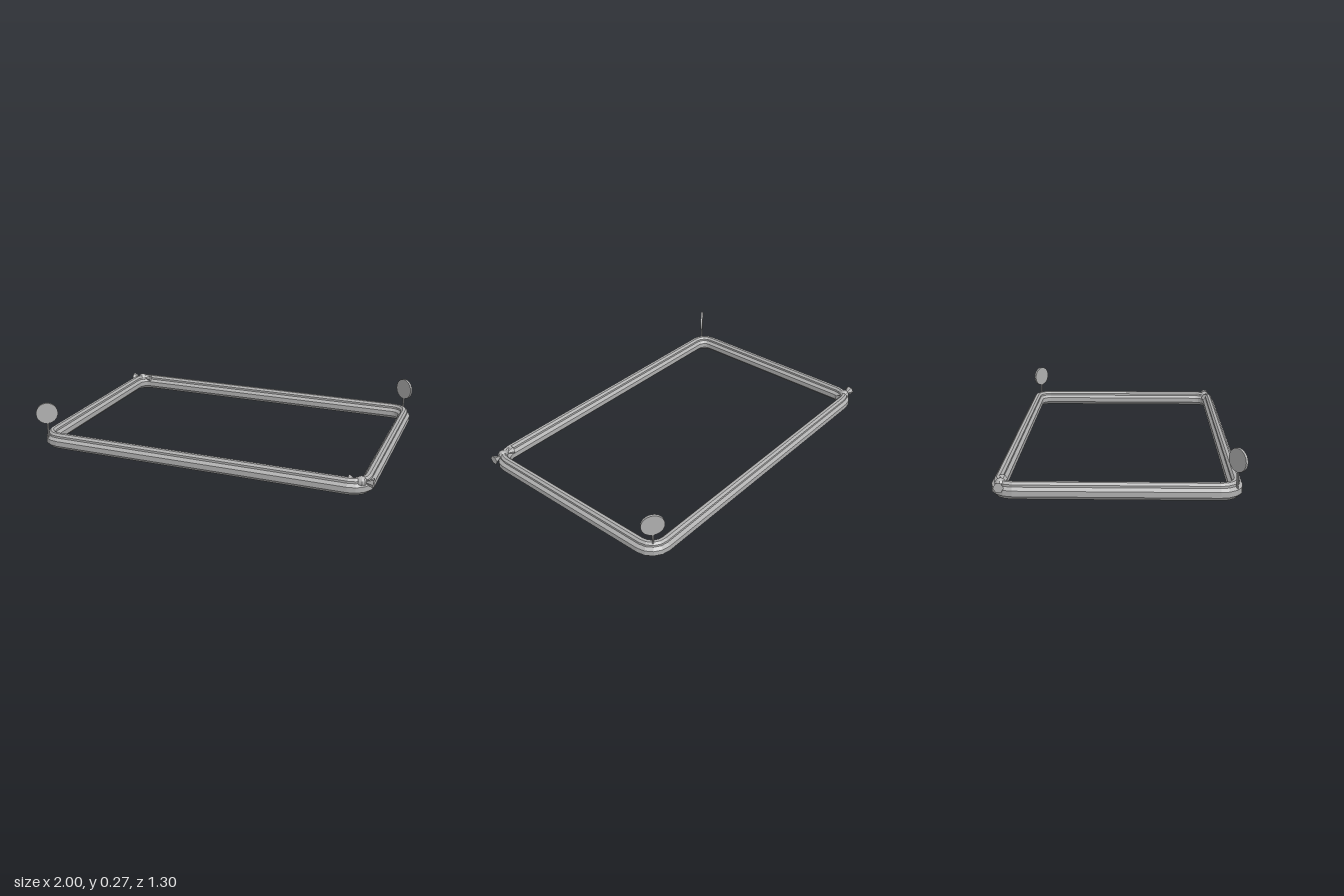
import * as THREE from 'three';

const metal = new THREE.MeshStandardMaterial({ color: 0xb0b0b0, flatShading: true });
metal.name = 'grey metal';

function add(parent, name, geometry, x = 0, y = 0, z = 0) {
  const mesh = new THREE.Mesh(geometry, metal);
  mesh.name = name;
  mesh.position.set(x, y, z);
  parent.add(mesh);
  return mesh;
}

// Closed rail: a polygon profile swept round a rounded rectangle
function railGeometry(halfX, halfZ, corner, radius, sides, squash = 1) {
  const steps = 4, path = [], positions = [], index = [];
  for (let c = 0; c < 4; c++) {
    const sx = c === 0 || c === 3 ? 1 : -1, sz = c < 2 ? 1 : -1;
    for (let i = 0; i <= steps; i++) {
      const a = (c + i / steps) * Math.PI / 2;
      path.push([sx * (halfX - corner), sz * (halfZ - corner), Math.cos(a), Math.sin(a)]);
    }
  }
  for (const [cx, cz, nx, nz] of path) {
    for (let j = 0; j < sides; j++) {
      const a = (j + 0.5) / sides * Math.PI * 2;
      const r = corner + radius * Math.cos(a);
      positions.push(cx + nx * r, radius * squash * Math.sin(a), cz + nz * r);
    }
  }
  const n = path.length;
  for (let i = 0; i < n; i++) {
    for (let j = 0; j < sides; j++) {
      const k = (j + 1) % sides, m = (i + 1) % n;
      const a = i * sides + j, b = i * sides + k, c = m * sides + k, d = m * sides + j;
      index.push(a, b, c, a, c, d);
    }
  }
  const geometry = new THREE.BufferGeometry();
  geometry.setAttribute('position', new THREE.Float32BufferAttribute(positions, 3));
  geometry.setIndex(index);
  geometry.computeVertexNormals();
  return geometry;
}

// Upright disc on a thin post, turned to the given heading
function discMarker(x, z, heading) {
  const marker = new THREE.Group();
  marker.name = 'discMarker';
  marker.position.set(x, 0, z);
  marker.rotation.y = heading;
  add(marker, 'post', new THREE.CylinderGeometry(0.006, 0.006, 0.11, 8), 0, 0.105, 0);
  const disc = new THREE.CylinderGeometry(0.063, 0.063, 0.014, 24).rotateX(Math.PI / 2);
  add(marker, 'disc', disc, 0, 0.207, 0);
  return marker;
}

// Ball with a flared cone on each side
function cornerKnot(x, z) {
  const knot = new THREE.Group();
  knot.name = 'cornerKnot';
  knot.position.set(x, 0.07, z);
  add(knot, 'ball', new THREE.SphereGeometry(0.03, 10, 8));
  for (const side of [-1, 1]) {
    const cone = new THREE.ConeGeometry(0.028, 0.055, 6).rotateZ(side * Math.PI / 2);
    add(knot, 'flare', cone, side * 0.04, 0, 0);
  }
  return knot;
}

export function createModel() {
  const model = new THREE.Group();
  model.name = 'cornerMarkedFrame';

  // Wide lower rail with a slim bead on top
  add(model, 'lowerRail', railGeometry(0.954, 0.612, 0.085, 0.039, 8), 0, 0.036, -0.006);
  add(model, 'upperBead', railGeometry(0.954, 0.612, 0.085, 0.022, 8), 0, 0.07, -0.006);

  // Discs on one diagonal, knots on the other
  model.add(discMarker(-0.94, 0.606, 0.64), discMarker(0.936, -0.598, -0.64));
  model.add(cornerKnot(-0.932, -0.598), cornerKnot(0.932, 0.586));
  return model;
}
